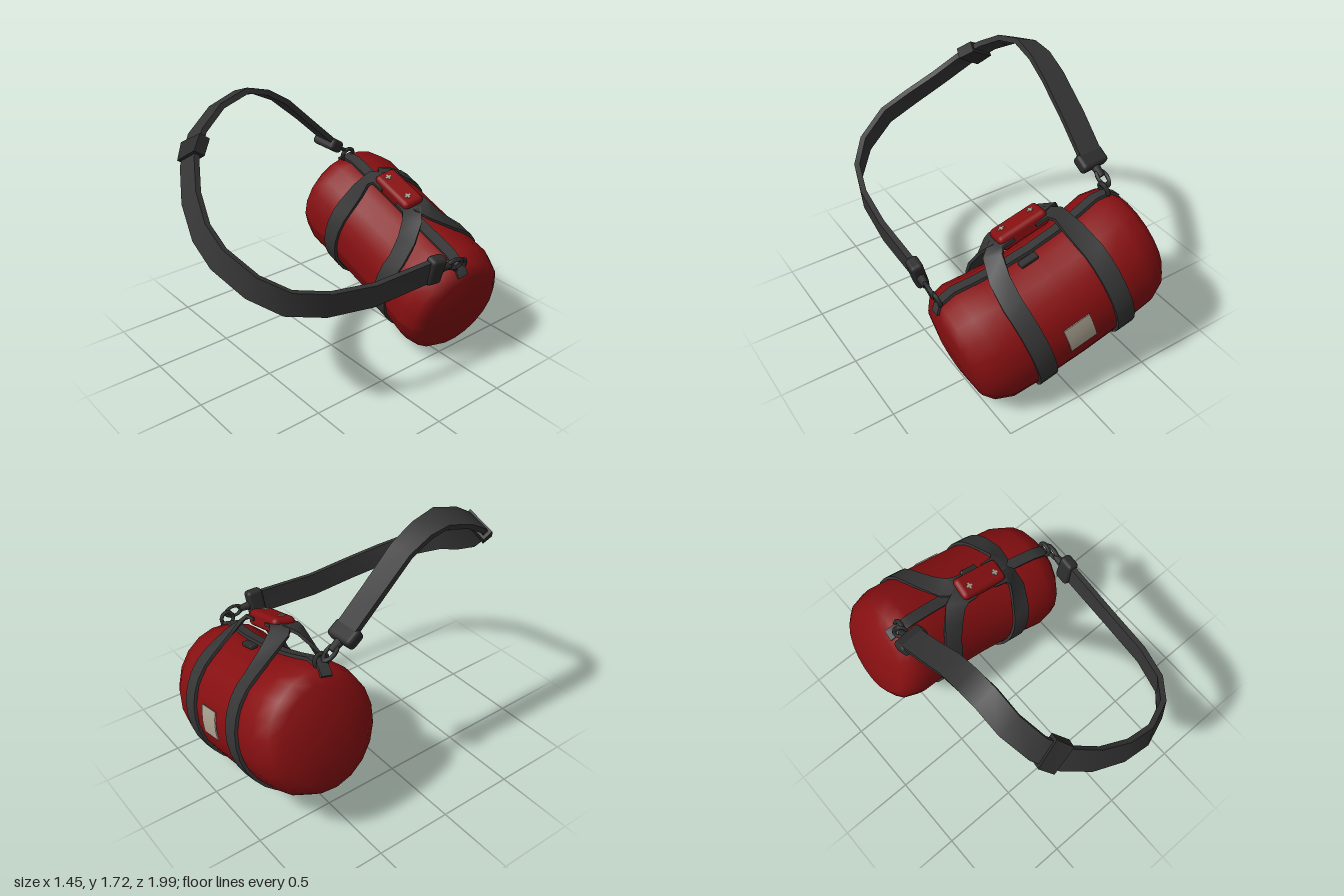
import * as THREE from 'three';
import { RoundedBoxGeometry } from 'three/addons/geometries/RoundedBoxGeometry.js';

const V = (x, y, z) => new THREE.Vector3(x, y, z);
const mat = (name, color) => Object.assign(new THREE.MeshStandardMaterial({ color }), { name });

// Half outline of the bag: [radius, distance along the axis]
const HALF = [[0.4, 0.5], [0.365, 0.605], [0.3, 0.655], [0.13, 0.682], [0, 0.685]];
const DEPTH = 0.93;
const sag = s => 0.03 * Math.max(0, 1 - (s / 0.6) ** 2);

function radius(s) {
  s = Math.abs(s);
  if (s <= 0.5) return 0.4 - 0.011 * (1 - (s / 0.5) ** 2);
  for (let i = 0; i < HALF.length - 1; i++) {
    const [r0, s0] = HALF[i], [r1, s1] = HALF[i + 1];
    if (s <= s1) return r0 + (r1 - r0) * (s - s0) / (s1 - s0);
  }
  return 0;
}

// Point on the bag's skin; angle 0 is the top, 90 degrees is the front
function onBag(s, deg, off) {
  const a = deg * Math.PI / 180, r = radius(s);
  return V(s, (r + off) * Math.cos(a) - sag(s), (r * DEPTH + off) * Math.sin(a) - sag(s));
}

// Flat strap of given width and thickness swept along points, with a width direction at each
function ribbon(points, dirs, width, thick) {
  const rings = points.map((p, i) => {
    const t = points[Math.min(i + 1, points.length - 1)].clone().sub(points[Math.max(i - 1, 0)]).normalize();
    const w = dirs[i].clone().addScaledVector(t, -dirs[i].dot(t)).normalize();
    const n = t.clone().cross(w);
    return [[1, 1], [-1, 1], [-1, -1], [1, -1]].map(([a, b]) =>
      p.clone().addScaledVector(w, a * width / 2).addScaledVector(n, b * thick / 2));
  });
  const pos = [], idx = [];
  for (let k = 0; k < 4; k++) {
    const base = pos.length / 3;
    rings.forEach((r, i) => {
      pos.push(...r[k].toArray(), ...r[(k + 1) % 4].toArray());
      const a = base + i * 2;
      if (i < rings.length - 1) idx.push(a, a + 1, a + 3, a, a + 3, a + 2);
    });
  }
  for (const ring of [[...rings[0]].reverse(), rings[rings.length - 1]]) {
    const b = pos.length / 3;
    ring.forEach(p => pos.push(...p.toArray()));
    idx.push(b, b + 1, b + 2, b, b + 2, b + 3);
  }
  const g = new THREE.BufferGeometry();
  g.setAttribute('position', new THREE.Float32BufferAttribute(pos, 3));
  g.setIndex(idx);
  g.computeVertexNormals();
  return g;
}

export function createModel() {
  const red = mat('red fabric', 0x860f11);
  const grey = mat('dark webbing', 0x353535);
  const plastic = mat('dark plastic', 0x2c2c2c);
  const pale = mat('pale label', 0xa89f8e);

  const model = new THREE.Group();
  model.name = 'duffelBag';
  const bag = new THREE.Group();
  bag.name = 'bag';
  bag.rotation.set(0.22, -0.05, -0.294, 'YZX');
  bag.position.set(-0.03, 0.54, -0.59);
  model.add(bag);
  const add = (parent, name, geo, material) => {
    const m = new THREE.Mesh(geo, material);
    m.name = name;
    parent.add(m);
    return m;
  };

  // Body: a rounded barrel that sags in the middle
  const outline = [...HALF].reverse().map(([r, s]) => [r, -s]);
  for (const s of [-0.35, -0.2, 0, 0.2, 0.35]) outline.push([radius(s), s]);
  outline.push(...HALF);
  const body = new THREE.LatheGeometry(outline.map(p => new THREE.Vector2(...p)), 20);
  body.rotateZ(-Math.PI / 2);
  const bp = body.attributes.position;
  for (let i = 0; i < bp.count; i++) {
    const d = sag(bp.getX(i));
    bp.setY(i, bp.getY(i) - d);
    bp.setZ(i, bp.getZ(i) * DEPTH - d);
  }
  body.computeVertexNormals();
  add(bag, 'body', body, red);

  // Two straps that circle the body and rise into the carrying handle
  for (const k of [-1, 1]) {
    const leg = side => [
      [V(k * 0.08 - 0.01, 0.51, side * 0.025), V(0, 0, -k * side)],
      [V(k * 0.17 - 0.01, 0.515, side * 0.035), V(0.15, 0, -k * side)],
      [V(k * 0.225 - 0.01, 0.485, side * 0.07), V(0.7, 0, -0.7 * k * side)],
      [V(k * 0.26, 0.39, side * 0.15 - 0.01), V(1, 0, -0.25 * k * side)],
    ];
    const path = leg(1);
    for (let deg = 42; deg <= 318; deg += 12) path.push([onBag(k * 0.28, deg, 0.008), V(1, 0, 0)]);
    path.push(...leg(-1).reverse());
    add(bag, k < 0 ? 'rightBand' : 'leftBand',
      ribbon(path.map(p => p[0]), path.map(p => p[1]), 0.122, 0.02), grey);
  }

  // Handle wrap with two cross-shaped snaps
  add(bag, 'handleWrap', new RoundedBoxGeometry(0.33, 0.1, 0.15, 2, 0.03), red).position.set(-0.015, 0.51, 0);
  for (const x of [-0.115, 0.085]) {
    for (const [w, d] of [[0.04, 0.014], [0.014, 0.04]]) {
      add(bag, 'snap', new THREE.BoxGeometry(w, 0.008, d), pale).position.set(x, 0.561, 0.01);
    }
  }

  // Zip strip along the top, with its pull
  const zip = [-0.64, -0.6, -0.5, -0.35, -0.2, 0, 0.2, 0.35, 0.5, 0.6, 0.64];
  add(bag, 'zipStrip', ribbon(zip.map(s => onBag(s, 0, 0.006)), zip.map(() => V(0, 0, 1)), 0.07, 0.02), grey);
  const pull = add(bag, 'zipPull', new RoundedBoxGeometry(0.12, 0.03, 0.05, 1, 0.01), plastic);
  pull.position.copy(onBag(0.05, -13, 0.012));
  pull.rotation.x = -0.23;

  // Label on the back
  const label = [-108, -99, -90, -83].map(d => onBag(0.02, d, 0.006));
  add(bag, 'backLabel', ribbon(label, label.map(() => V(1, 0, 0)), 0.18, 0.008), pale);

  // Shoulder strap: [position], [width direction]
  const route = [
    [-0.49, 1.22, -0.37, 1, 0, 0], [-0.49, 1.4, -0.18, 1, 0, 0], [-0.48, 1.58, 0.02, 1, 0.1, 0],
    [-0.48, 1.66, 0.16, 1, 0.2, 0], [-0.475, 1.69, 0.3, 0.93, 0.35, 0], [-0.47, 1.635, 0.48, 0.9, 0.42, -0.1],
    [-0.42, 1.53, 0.65, 0.85, 0.5, -0.2], [-0.32, 1.41, 0.77, 0.72, 0.65, -0.25], [-0.17, 1.27, 0.86, 0.6, 0.75, -0.3],
    [0.02, 1.15, 0.92, 0.45, 0.85, -0.3], [0.2, 1.07, 0.93, 0.4, 0.9, -0.3], [0.4, 0.96, 0.855, 0.25, 0.95, -0.25],
    [0.53, 0.87, 0.72, 0.15, 1, -0.2], [0.6, 0.81, 0.5, 0.12, 1, -0.1], [0.63, 0.77, 0.2, 0.12, 1, 0],
    [0.65, 0.78, -0.22, 0.15, 1, 0],
  ];
  const pts = route.map(r => V(r[0], r[1], r[2])), dirs = route.map(r => V(r[3], r[4], r[5]));
  add(model, 'shoulderStrap', ribbon(pts, dirs, 0.15, 0.035), grey);
  const slider = [0.25, 0.85].map(f => pts[6].clone().lerp(pts[7], f));
  add(model, 'strapSlider', ribbon(slider, [dirs[6], dirs[7]], 0.19, 0.07), plastic);

  // Buckle, snap hook and ring at each strap end
  const clip = (name, from, to, w, ring) => {
    const g = new THREE.Group();
    g.name = name;
    model.add(g);
    const t = to.clone().sub(from).normalize();
    const x = w.clone().addScaledVector(t, -w.dot(t)).normalize();
    const q = new THREE.Quaternion().setFromRotationMatrix(
      new THREE.Matrix4().makeBasis(x, t, x.clone().cross(t)));
    const place = (m, p) => { m.position.copy(p); m.quaternion.copy(q); };
    place(add(g, 'buckle', new RoundedBoxGeometry(0.19, 0.11, 0.08, 2, 0.025), plastic), from);
    place(add(g, 'swivel', new THREE.CylinderGeometry(0.022, 0.03, 0.08, 8), plastic),
      from.clone().addScaledVector(t, 0.08));
    const hook = new THREE.TorusGeometry(0.04, 0.014, 6, 12);
    hook.scale(0.8, 1.3, 1);
    place(add(g, 'hook', hook, plastic), to);
    const loop = add(bag, 'ringLoop', new THREE.TorusGeometry(0.042, 0.014, 6, 12), plastic);
    loop.position.copy(ring);
    loop.rotation.y = Math.PI / 2;
  };
  clip('rightClip', V(-0.49, 1.2, -0.37), V(-0.5, 1.13, -0.48), V(1, 0, 0), V(-0.58, 0.4, 0));
  clip('leftClip', V(0.65, 0.78, -0.25), V(0.665, 0.77, -0.41), V(0.25, 1, 0), V(0.6, 0.4, 0));

  return model;
}
